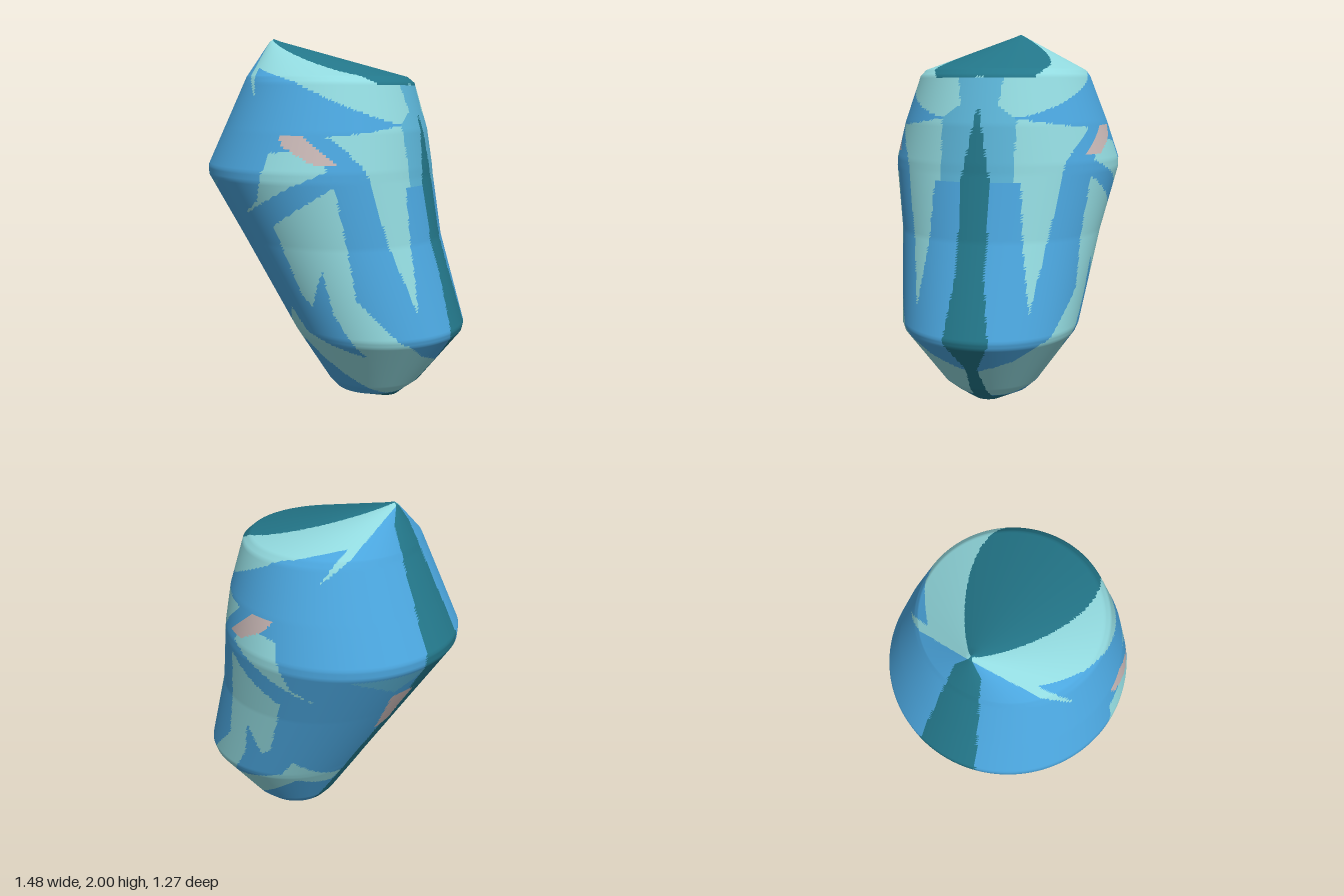
import * as THREE from 'three';

const paint = (name, color) => {
  const m = new THREE.MeshStandardMaterial({ color });
  m.name = name;
  return m;
};

// Body profile from the bottom up: height, left edge, right edge of each round section
const PROFILE = [
  [0, 0.22, 0.38], [0.045, 0.015, 0.43], [0.1, -0.03, 0.5], [0.395, -0.21, 0.73], [0.43, -0.23, 0.738],
  [0.91, -0.525, 0.592], [1.25, -0.735, 0.534], [1.3, -0.738, 0.529], [1.5, -0.642, 0.5],
  [1.75, -0.525, 0.428], [1.783, -0.512, 0.388], [1.985, -0.422, -0.36], [2, -0.4, -0.4],
];

// Flank paint, outlined in (x, y), the same on front and back
const FLANK = [
  ['pale', [-0.43, 2.01, -0.36, 1.79, -0.26, 1.67, -0.33, 1.83, -0.04, 1.76, 0.44, 1.54, 0.6, 1.54, 0.6, 2.01]],
  ['pale', [-0.3, 1.06, -0.18, 1.15, -0.1, 1.4, 0.12, 1.41, 0.2, 1.31, 0, 1.22]],
  ['blush', [-0.07, 1.49, 0.06, 1.49, 0.25, 1.34, 0.14, 1.34, -0.03, 1.43]],
  ['pale', [-0.1, 1.02, 0.23, 1.23, 0.33, 0.65, 0.56, 0.4, 0.36, 0.33, 0.21, 0.57, 0.16, 0.8, 0.09, 0.6, 0.03, 0.65]],
  ['pale', [0.36, 0.33, 0.56, 0.41, 0.8, 0.41, 0.8, 0, 0.37, 0.05, -0.03, 0.37, -0.12, 0.28, -0.18, 0.36,
    -0.07, 0.56, 0.02, 0.44]],
];

// Paint on the +x and -x faces, outlined in (distance from centre plane, y)
const RIGHT = [
  ['mid', [0, 1.74, 0.12, 1.74, 0.1, 1.6, 0.2, 1.53, 0.2, 1.21, 0, 1.21]],
  ['pale', [0.2, 1.53, 0.52, 1.48, 0.43, 1.3, 0.3, 0.56, 0.25, 0.9, 0.23, 1.21, 0.19, 1.21]],
  ['blue', [0, 0.41, 0.365, 0.41, 0.22, 0.31, 0, 0.23]],
  ['teal', [0, 1.61, 0.08, 1.2, 0.075, 0.75, 0.12, 0.42, 0.03, 0.25, 0.05, 0.04, 0, 0.04]],
];
const LEFT = [
  ['mid', [0.12, 1.23, 0.5, 1.23, 0.25, 1.1]],
  ['teal', [0, 2, 0.07, 1.9, 0.17, 1.27, 0.11, 0.95, 0.1, 0.04, 0, 0.04]],
  ['blush', [0.1, 1.07, 0.24, 1.06, 0.14, 0.76, 0.07, 0.8]],
];

function inside(p, x, y) {
  let hit = false;
  for (let i = 0, j = p.length - 2; i < p.length; j = i, i += 2) {
    const yi = p[i + 1], yj = p[j + 1];
    if (yi > y !== yj > y && x < ((p[j] - p[i]) * (y - yi)) / (yj - yi) + p[i]) hit = !hit;
  }
  return hit;
}

function colourAt(x, y, z, centre) {
  const d = Math.abs(z);
  // Dark underside and teardrop cap
  const t = (x + 0.41) / 0.84;
  const onCap = y > 1.74 && t > 0 && t < 1 && d < 0.6 * t ** 0.85 * (1 - t) ** 0.31;
  if (y < 0.042 || onCap) return 'teal';

  let colour = 'blue';
  for (const [name, outline] of FLANK) if (inside(outline, x, y)) colour = name;
  for (const [name, outline] of x > centre ? RIGHT : LEFT) if (inside(outline, d, y)) colour = name;
  return colour;
}

export function createModel() {
  const group = new THREE.Group();
  group.name = 'slantedVessel';
  const materials = {
    blue: paint('blue', 0x4ba6de),
    pale: paint('paleCyan', 0x92dadf),
    teal: paint('deepTeal', 0x23778a),
    mid: paint('midCyan', 0x5cb5d8),
    blush: paint('greyPink', 0xc9b8b6),
  };

  // Sections, closely spaced along the profile
  const rows = [];
  for (let i = 0; i < PROFILE.length - 1; i++) {
    const a = PROFILE[i], b = PROFILE[i + 1];
    const n = Math.max(2, Math.round(Math.hypot(b[0] - a[0], b[2] - a[2]) / 0.0135));
    for (let k = 0; k < n; k++) rows.push(a.map((v, j) => v + ((b[j] - v) * k) / n));
  }
  rows.push(PROFILE[PROFILE.length - 1]);

  const SIDES = 200, positions = [], centres = [];
  for (const [y, left, right] of rows) {
    const c = (left + right) / 2, r = (right - left) / 2;
    centres.push(c);
    for (let s = 0; s < SIDES; s++) {
      const a = (s / SIDES) * Math.PI * 2;
      positions.push(c + r * Math.cos(a), y, r * Math.sin(a));
    }
  }

  // Triangles, sorted by paint colour
  const faces = { blue: [], pale: [], teal: [], mid: [], blush: [] };
  const all = [];
  const addFace = (centre, ...tri) => {
    const mid = [0, 1, 2].map((k) => tri.reduce((sum, v) => sum + positions[v * 3 + k], 0) / 3);
    faces[colourAt(...mid, centre)].push(...tri);
    all.push(...tri);
  };
  for (let i = 0; i < rows.length - 1; i++) {
    for (let s = 0; s < SIDES; s++) {
      const t = (s + 1) % SIDES;
      const a = i * SIDES + s, b = i * SIDES + t, c = a + SIDES, d = b + SIDES;
      addFace(centres[i], a, c, b);
      if (i < rows.length - 2) addFace(centres[i], b, c, d);
    }
  }

  const body = new THREE.BufferGeometry();
  body.setAttribute('position', new THREE.Float32BufferAttribute(positions, 3));
  body.setIndex(all);
  body.computeVertexNormals();

  // One shell part per colour, sharing the smooth surface
  for (const key of Object.keys(faces)) {
    const geometry = new THREE.BufferGeometry();
    geometry.setAttribute('position', body.attributes.position);
    geometry.setAttribute('normal', body.attributes.normal);
    geometry.setIndex(faces[key]);
    const mesh = new THREE.Mesh(geometry, materials[key]);
    mesh.name = key + 'Shell';
    group.add(mesh);
  }

  // Flat underside
  const base = new THREE.Mesh(new THREE.CircleGeometry(0.08, 48).rotateX(Math.PI / 2), materials.blue);
  base.position.x = 0.3;
  base.name = 'baseDisc';
  group.add(base);
  return group;
}
